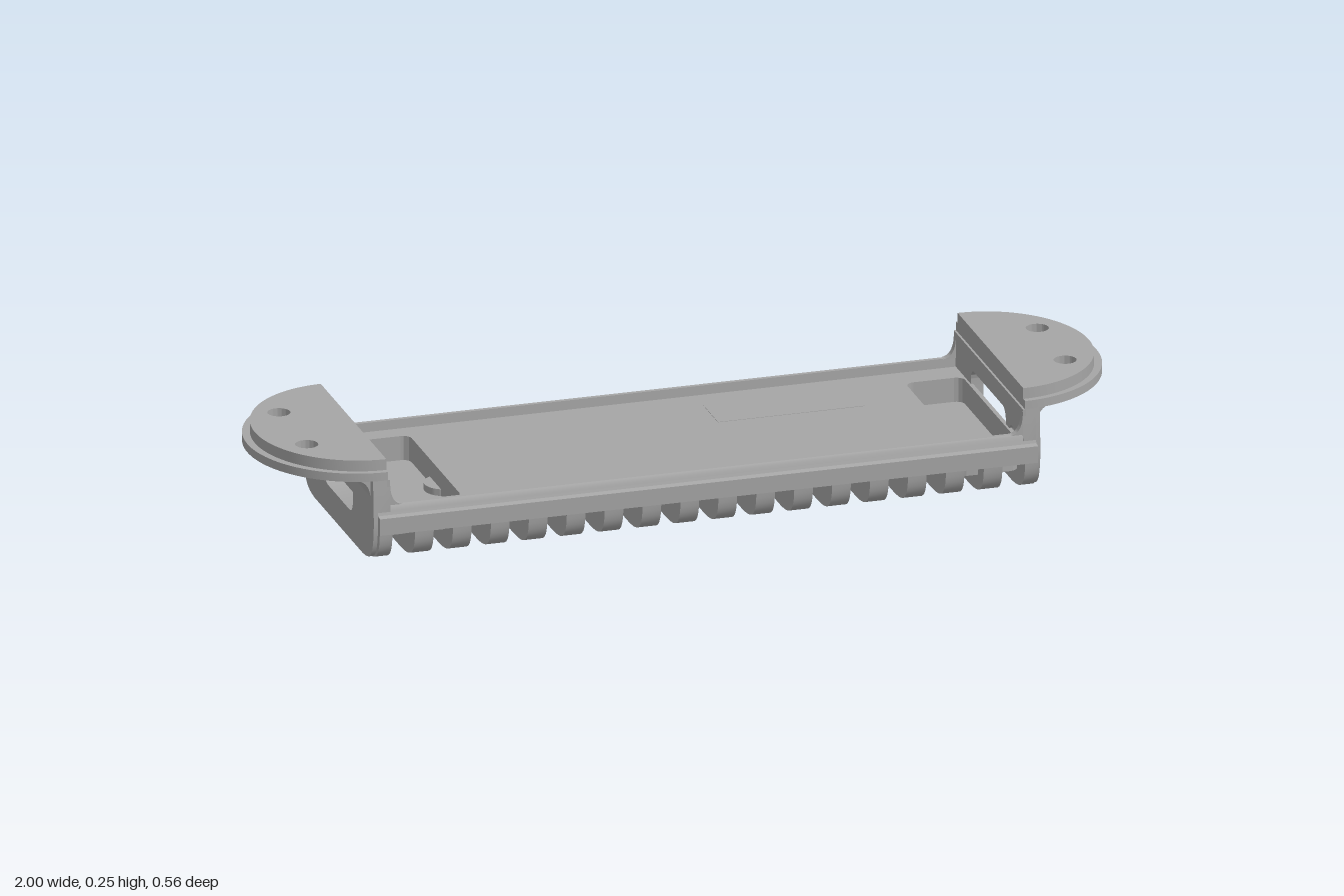
import * as THREE from 'three';
import { toCreasedNormals } from 'three/addons/utils/BufferGeometryUtils.js';

const gray = new THREE.MeshStandardMaterial({ color: 0xa6a6a6 });
gray.name = 'moulded gray';

function mesh(name, geometry) {
  const m = new THREE.Mesh(toCreasedNormals(geometry, 0.6), gray);
  m.name = name;
  return m;
}

// Extrude a (z, y) section along x
function alongX(name, shape, x0, x1) {
  const g = new THREE.ExtrudeGeometry(shape, { depth: x1 - x0, bevelEnabled: false, curveSegments: 10 });
  return mesh(name, g.rotateY(-Math.PI / 2).translate(x1, 0, 0));
}

// Extrude an (x, z) plan upwards
function upY(name, shape, y0, y1) {
  const g = new THREE.ExtrudeGeometry(shape, { depth: y1 - y0, bevelEnabled: false, curveSegments: 32 });
  return mesh(name, g.rotateX(Math.PI / 2).translate(0, y1, 0));
}

const poly = (pts) => new THREE.Shape(pts.map(([a, b]) => new THREE.Vector2(a, b)));

function roundRect(x0, y0, x1, y1, r) {
  const s = new THREE.Shape();
  s.absarc(x1 - r, y0 + r, r, -Math.PI / 2, 0);
  s.absarc(x1 - r, y1 - r, r, 0, Math.PI / 2);
  s.absarc(x0 + r, y1 - r, r, Math.PI / 2, Math.PI);
  s.absarc(x0 + r, y0 + r, r, Math.PI, Math.PI * 1.5);
  s.closePath();
  return s;
}

function circle(x, y, r) {
  const s = new THREE.Shape();
  s.absarc(x, y, r, 0, Math.PI * 2);
  return s;
}

// Rib section with rounded bilges; pocket = [z0, z1] lowers its top there
function ribShape(pocket) {
  const s = new THREE.Shape();
  s.moveTo(-0.17, 0);
  s.lineTo(0.17, 0);
  s.bezierCurveTo(0.25, 0.002, 0.276, 0.02, 0.279, 0.08);
  if (pocket) {
    s.lineTo(pocket[1], 0.08);
    s.lineTo(pocket[1], 0.05);
    s.lineTo(pocket[0], 0.05);
    s.lineTo(pocket[0], 0.08);
  }
  s.lineTo(-0.279, 0.08);
  s.bezierCurveTo(-0.276, 0.02, -0.25, 0.002, -0.17, 0);
  return s;
}

function endWallShape() {
  const s = new THREE.Shape();
  s.moveTo(-0.18, 0);
  s.lineTo(0.18, 0);
  s.bezierCurveTo(0.245, 0.003, 0.262, 0.02, 0.266, 0.1);
  s.lineTo(0.26, 0.2);
  s.lineTo(-0.26, 0.2);
  s.lineTo(-0.266, 0.1);
  s.bezierCurveTo(-0.262, 0.02, -0.245, 0.003, -0.18, 0);
  return s;
}

// D-shaped mounting flange plan
function flangeShape(rx, rz, holeR) {
  const s = new THREE.Shape();
  s.moveTo(0.75, -rz);
  s.absellipse(0.75, 0, rx, rz, -Math.PI / 2, Math.PI / 2, false, 0);
  s.closePath();
  for (const z of [-0.105, 0.105]) s.holes.push(circle(0.893, z, holeR));
  return s;
}

// One raised end, built at +x
function makeEnd(name, windowHalf, recessed) {
  const end = new THREE.Group();
  end.name = name;
  const wall = endWallShape();
  wall.holes.push(roundRect(-windowHalf, 0.068, windowHalf, 0.155, 0.025), circle(0.18, 0.105, 0.026));
  end.add(alongX('endWall', wall, 0.745, recessed ? 0.775 : 0.785));
  if (recessed) {
    const face = endWallShape();
    face.holes.push(poly([
      [-0.19, 0.048], [-0.1, 0.048], [-0.085, 0.04], [-0.075, 0.026], [-0.062, 0.022],
      [0.062, 0.022], [0.075, 0.026], [0.085, 0.04], [0.1, 0.048], [0.208, 0.048],
      [0.218, 0.054], [0.222, 0.064], [0.222, 0.16], [0.218, 0.17], [0.208, 0.175],
      [-0.186, 0.175], [-0.196, 0.17], [-0.2, 0.16], [-0.2, 0.062], [-0.197, 0.052],
    ]));
    end.add(alongX('recessFrame', face, 0.775, 0.785));
  }
  end.add(upY('lowerFlange', flangeShape(0.25, 0.262, 0.036), 0.2, 0.22));
  end.add(upY('upperFlange', flangeShape(0.232, 0.248, 0.026), 0.22, 0.246));

  // Fillet between wall and flange underside
  const fillet = new THREE.Shape();
  fillet.moveTo(0.78, 0.155);
  fillet.lineTo(0.785, 0.155);
  fillet.quadraticCurveTo(0.787, 0.198, 0.835, 0.202);
  fillet.lineTo(0.78, 0.202);
  const fg = new THREE.ExtrudeGeometry(fillet, { depth: 0.48, bevelEnabled: false });
  end.add(mesh('flangeFillet', fg.translate(0, 0, -0.24)));

  // Curved rise from side rail to end wall
  const rise = new THREE.Shape();
  rise.moveTo(0.715, 0.139);
  rise.lineTo(0.752, 0.139);
  rise.lineTo(0.752, 0.2);
  rise.lineTo(0.745, 0.2);
  rise.quadraticCurveTo(0.747, 0.142, 0.715, 0.139);
  for (const z of [-0.261, 0.245]) {
    const g = new THREE.ExtrudeGeometry(rise, { depth: 0.016, bevelEnabled: false });
    end.add(mesh('railRise', g.translate(0, 0, z)));
  }
  return end;
}

export function createModel() {
  const model = new THREE.Group();
  model.name = 'finnedTray';

  // Tray floor with two sunken pockets
  const pockets = [[-0.74, -0.2, -0.557, 0.2], [0.605, -0.18, 0.74, 0.23]];
  const floor = poly([[-0.75, -0.25], [0.75, -0.25], [0.75, 0.25], [-0.75, 0.25]]);
  for (const p of pockets) {
    floor.holes.push(roundRect(...p, 0.02));
    const [x0, z0, x1, z1] = p;
    const rim = roundRect(x0 - 0.005, z0 - 0.006, x1 + 0.006, z1 + 0.006, 0.025);
    rim.holes.push(roundRect(...p, 0.02));
    model.add(upY('pocketWall', rim, 0.045, 0.08));
    model.add(upY('pocketBase', roundRect(...p, 0.02), 0.045, 0.06));
  }
  model.add(upY('floor', floor, 0.075, 0.118));
  model.add(upY('floorPanel', poly([[0.13, -0.18], [0.475, -0.18], [0.475, -0.07], [0.13, -0.07]]), 0.117, 0.119));

  // Side rails
  for (const s of [-1, 1]) {
    const rail = poly([
      [0.245, 0.075], [0.279, 0.075], [0.28, 0.115], [0.267, 0.118],
      [0.264, 0.126], [0.261, 0.136], [0.257, 0.14], [0.247, 0.14],
    ].map(([z, y]) => [s * z, y]));
    model.add(alongX('sideRail', rail, -0.775, 0.775));
  }

  // Cross ribs between 17 open slots
  const pitch = 0.0893, half = 0.022;
  for (let i = 0; i < 16; i++) {
    const x = (i - 7.5) * pitch;
    const p = pockets.find((q) => x + half > q[0] && x - half < q[2]);
    model.add(alongX('rib', ribShape(p && [p[1], p[3]]), x - half, x + half));
  }
  for (const s of [-1, 1]) {
    model.add(alongX('endRib', ribShape([-0.235, 0.235]), s * 0.76 - 0.015, s * 0.76 + 0.015));
  }

  // Screw bosses under the floor
  for (const x of [-0.535, 0.535]) {
    const ring = circle(x, 0, 0.048);
    ring.holes.push(circle(x, 0, 0.022));
    model.add(upY('screwBoss', ring, 0.035, 0.076));
  }

  const leftEnd = makeEnd('leftEnd', 0.132, true);
  const rightEnd = makeEnd('rightEnd', 0.107, false);
  rightEnd.rotation.y = Math.PI;
  model.add(leftEnd, rightEnd);
  return model;
}
